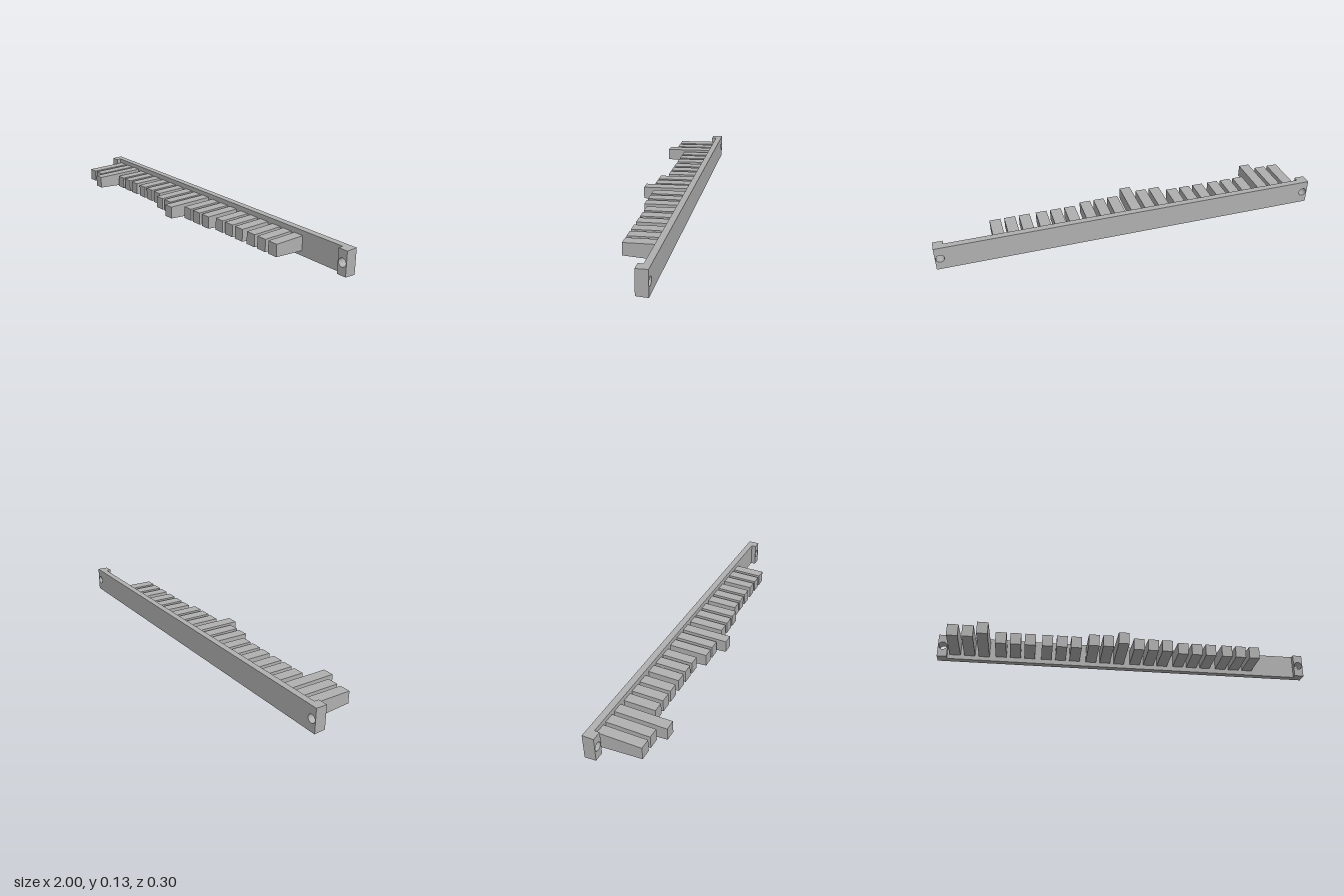
import * as THREE from 'three';

const MID = 0.0635;      // mid height of every part
const DRAFT = 0.038;     // slope of the tapered upper and lower faces
const BACK = -0.149, PLATE = -0.116, LUG = -0.091;

// Slab from z0 to z1 that gets lower towards the front; optional round hole
function draftedSlab(width, backHalf, z0, z1, holeRadius = 0) {
  const w = width / 2, h = backHalf;
  const shape = new THREE.Shape([
    new THREE.Vector2(-w, -h), new THREE.Vector2(w, -h),
    new THREE.Vector2(w, h), new THREE.Vector2(-w, h),
  ]);
  if (holeRadius) {
    const hole = new THREE.Path();
    hole.absarc(0, 0, holeRadius, 0, Math.PI * 2, true);
    shape.holes.push(hole);
  }
  const geo = new THREE.ExtrudeGeometry(shape, { depth: z1 - z0, bevelEnabled: false, curveSegments: 24 });
  const p = geo.attributes.position;
  for (let i = 0; i < p.count; i++) {
    const y = p.getY(i);
    if (Math.abs(y) > h - 1e-4) p.setY(i, y - Math.sign(y) * DRAFT * p.getZ(i));
  }
  geo.translate(0, 0, z0);
  geo.computeVertexNormals();
  return geo;
}

export function createModel() {
  const model = new THREE.Group();
  model.name = 'toothedBar';
  const grey = new THREE.MeshStandardMaterial({ color: 0xb0b0b0 });
  grey.name = 'grey';

  function add(name, geo, x) {
    const mesh = new THREE.Mesh(geo, grey);
    mesh.name = name;
    mesh.position.set(x, MID, 0);
    model.add(mesh);
  }

  // Back plate between the two mounting lugs
  add('backPlate', draftedSlab(1.9, MID, BACK, PLATE), 0);

  // Thicker end lugs with screw holes
  for (const side of [-1, 1]) {
    add(side > 0 ? 'leftLug' : 'rightLug', draftedSlab(0.05, MID, BACK, LUG, 0.021), side * 0.975);
  }

  // Seven groups of three teeth; each tooth's tip has the same height
  const tips = [
    [0.105, 0.105, 0.149], [0.045, 0.045, 0.045], [0.045, 0.045, 0.045],
    [0.083, 0.083, 0.128], [0.066, 0.066, 0.066], [0.045, 0.045, 0.045],
    [0.045, 0.045, 0.045],
  ];
  tips.forEach((group, g) => group.forEach((tip, t) => {
    const baseHalf = 0.0313 + DRAFT * (tip - PLATE);
    add(`tooth${g * 3 + t + 1}`, draftedSlab(0.056, baseHalf, PLATE, tip), -0.909 + g * 0.2396 + t * 0.0755);
  }));

  return model;
}
